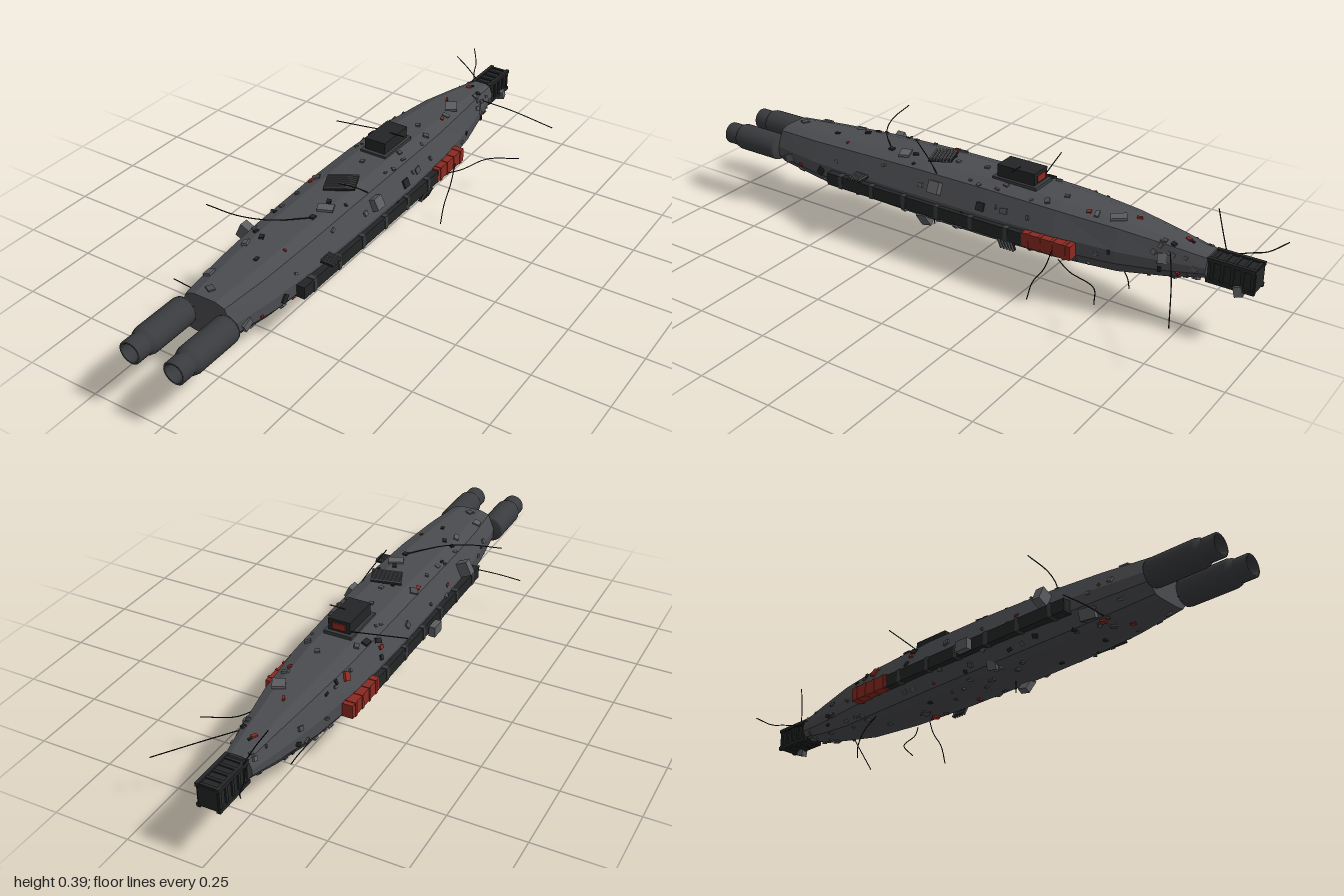
import * as THREE from 'three';

const mat = (color) => new THREE.MeshStandardMaterial({ color, flatShading: true });
const HULL = mat(0x4b4c50), ENGINE = mat(0x3a3b3e), DARK = mat(0x232425);
const RED = mat(0x8c2a22), GREY = mat(0x5c5d60), WIRE = mat(0x1c1c1d);
const CX = -0.013; // hull centre line

// Hull stations: z, half width, bottom, top
const STATIONS = [
  [0.77, 0.09, 0.163, 0.295], [0.6, 0.113, 0.148, 0.305], [0.4, 0.126, 0.14, 0.316], [0.15, 0.131, 0.136, 0.324],
  [-0.1, 0.131, 0.135, 0.325], [-0.35, 0.122, 0.137, 0.318], [-0.55, 0.098, 0.145, 0.306],
  [-0.7, 0.07, 0.168, 0.286], [-0.82, 0.047, 0.195, 0.267],
];
// Right half of the hull section, bottom to top: width share, height share
const HALF = [[0.45, 0], [0.72, 0.03], [1, 0.27], [1, 0.52], [0.76, 0.92], [0.42, 1]];
const SECTION = [...HALF, ...[...HALF].reverse().map(([u, v]) => [-u, v])];
const N = SECTION.length;

function ringAt(z) {
  let i = 0;
  while (i < STATIONS.length - 2 && z < STATIONS[i + 1][0]) i++;
  const a = STATIONS[i], b = STATIONS[i + 1], t = (z - a[0]) / (b[0] - a[0]);
  const [w, lo, hi] = [1, 2, 3].map((k) => a[k] + (b[k] - a[k]) * t);
  return SECTION.map(([u, v]) => new THREE.Vector3(CX + u * w, lo + v * (hi - lo), z));
}

function hullGeometry() {
  const pos = [], idx = [];
  STATIONS.forEach(([z]) => ringAt(z).forEach((p) => pos.push(p.x, p.y, p.z)));
  const last = (STATIONS.length - 1) * N;
  for (let i = 0; i < last; i += N) {
    for (let j = 0; j < N; j++) {
      const a = i + j, b = i + (j + 1) % N;
      idx.push(a, a + N, b, b, a + N, b + N);
    }
  }
  for (let j = 1; j < N - 1; j++) idx.push(0, j, j + 1, last, last + j + 1, last + j);
  const g = new THREE.BufferGeometry();
  g.setAttribute('position', new THREE.Float32BufferAttribute(pos, 3));
  g.setIndex(idx);
  g.computeVertexNormals();
  return g;
}

let seed = 7;
function rand(a = 0, b = 1) {
  seed = (seed * 16807) % 2147483647;
  return a + (b - a) * (seed / 2147483647);
}

export function createModel() {
  const root = new THREE.Group();
  const add = (name, geo, material, x = 0, y = 0, z = 0, parent = root) => {
    const m = new THREE.Mesh(geo, material);
    m.name = name;
    m.position.set(x, y, z);
    parent.add(m);
    return m;
  };
  const box = (name, material, size, at, rot = [0, 0, 0], parent = root) => {
    const m = add(name, new THREE.BoxGeometry(...size), material, ...at, parent);
    m.rotation.set(...rot);
    return m;
  };

  add('hull', hullGeometry(), HULL);

  // Twin engines with hollow nozzles
  const profile = [[0, 0], [0.042, 0], [0.045, 0.01], [0.045, 0.165], [0.041, 0.178], [0.035, 0.182],
    [0.037, 0.19], [0.037, 0.23], [0.028, 0.23], [0.026, 0.185], [0, 0.185]].map((p) => new THREE.Vector2(...p));
  for (const s of [-1, 1]) {
    const engine = new THREE.Group();
    engine.name = 'engine';
    engine.position.set(CX + s * 0.077, 0.224, 0.77);
    root.add(engine);
    const smooth = ENGINE.clone();
    smooth.flatShading = false;
    add('engineBody', new THREE.LatheGeometry(profile, 24), smooth, 0, 0, 0, engine).rotation.x = Math.PI / 2;
    add('nozzleCore', new THREE.CircleGeometry(0.026, 24), DARK, 0, 0, 0.187, engine);
    box('engineStrut', DARK, [0.03, 0.05, 0.03], [-s * 0.02, 0, -0.008], [0, 0, 0], engine);

    // Side beam with clamps, and the red cargo pod ahead of it
    box('sideBeam', DARK, [0.034, 0.042, 0.77], [CX + s * 0.13, 0.202, 0.12]);
    for (let k = 0; k < 6; k++) box('beamClamp', ENGINE, [0.037, 0.046, 0.015], [CX + s * 0.13, 0.202, 0.45 - k * 0.13]);
    box('cargoPod', RED, [0.036, 0.046, 0.17], [CX + s * 0.13, 0.205, -0.345]);
    for (let k = 0; k < 4; k++) box('podRib', RED, [0.04, 0.05, 0.01], [CX + s * 0.13, 0.205, -0.28 - k * 0.043]);
  }

  // Cabin with a red window facing the tail
  box('cabin', DARK, [0.075, 0.065, 0.135], [CX, 0.339, -0.168]);
  box('cabinWindow', RED, [0.045, 0.022, 0.004], [CX, 0.35, -0.237]);
  box('cabinBase', ENGINE, [0.095, 0.014, 0.16], [CX, 0.325, -0.168]);

  // Tail block with ribs and corner rails
  box('tailBlock', DARK, [0.062, 0.068, 0.155], [CX, 0.225, -0.89]);
  for (let k = 0; k < 5; k++) box('tailRib', DARK, [0.072, 0.076, 0.01], [CX, 0.225, -0.835 - k * 0.031]);
  for (const s of [-1, 1]) {
    for (const t of [-1, 1]) box('tailRail', DARK, [0.012, 0.012, 0.15], [CX + s * 0.032, 0.225 + t * 0.034, -0.893]);
  }
  box('tailBox', GREY, [0.025, 0.03, 0.025], [0.02, 0.185, -0.92], [0.3, 0.2, 0.1]);

  // Large bolted-on boxes
  const fittings = [
    [[0.04, 0.05, 0.03], [-0.148, 0.262, 0.41], [0, 0, -0.45]],
    [[0.022, 0.05, 0.035], [0.072, 0.132, 0.15], [0.2, 0, -0.5]],
    [[0.022, 0.036, 0.05], [-0.176, 0.197, 0.11], [0, 0, 0]],
    [[0.03, 0.04, 0.04], [0.108, 0.275, 0.08], [0, 0, 0.45]],
    [[0.03, 0.03, 0.03], [-0.095, 0.142, 0.16], [0, 0.3, 0.4]],
    [[0.05, 0.008, 0.035], [0.035, 0.324, 0.25], [0, 0.4, 0]],
    [[0.04, 0.008, 0.05], [0.025, 0.312, -0.53], [0.1, 0.5, 0]],
    [[0.02, 0.035, 0.05], [-0.12, 0.165, 0.56], [0, 0.2, 0.4]],
    [[0.02, 0.03, 0.03], [0.05, 0.235, -0.69], [0, 0.5, 0.3]],
  ];
  fittings.forEach(([size, at, rot]) => box('fitting', GREY, size, at, rot));

  // Slatted panels
  const slats = (at, rot, count, w, gap) => {
    const panel = new THREE.Group();
    panel.name = 'slattedPanel';
    panel.position.set(...at);
    panel.rotation.set(...rot);
    root.add(panel);
    box('panelPlate', DARK, [w, 0.006, count * gap], [0, 0, 0], [0, 0, 0], panel);
    for (let k = 0; k < count; k++) {
      box('slat', GREY, [w, 0.012, gap * 0.45], [0, 0.003, (k - (count - 1) / 2) * gap], [0, 0, 0], panel);
    }
  };
  slats([0.005, 0.334, 0.12], [0.05, 0.4, 0.08], 7, 0.1, 0.011);
  slats([0.137, 0.242, 0.37], [0, 0, 0], 5, 0.045, 0.01);
  slats([0.122, 0.165, -0.2], [0, 0, -2], 5, 0.04, 0.011);

  // Small plates and knobs scattered over every hull facet
  const scatter = new THREE.Group();
  scatter.name = 'hullDetails';
  root.add(scatter);
  for (let k = 0; k < 190; k++) {
    const z = rand(-0.8, 0.74), ring = ringAt(z), j = Math.floor(rand(0, N));
    const a = ring[j], b = ring[(j + 1) % N];
    const p = a.clone().lerp(b, rand(0.1, 0.9));
    const big = k % 8 === 0 ? 1.8 : 1;
    const size = [rand(0.006, 0.016) * big, rand(0.006, 0.014), rand(0.006, 0.02) * big];
    const m = box('hullDetail', k % 9 === 4 ? RED : [GREY, DARK, HULL][k % 3], size, p.toArray(), [0, 0, 0], scatter);
    m.rotation.set(0, rand(-0.6, 0.6), Math.atan2(b.y - a.y, b.x - a.x) + Math.PI, 'ZYX');
  }

  // Whip antennas and loose cables, each through a few points
  const wires = [
    [[-0.1, 0.152, 0.6], [-0.19, 0.149, 0.608], [-0.28, 0.149, 0.602]],
    [[0.03, 0.32, 0.31], [-0.06, 0.329, 0.4], [-0.15, 0.336, 0.442], [-0.258, 0.344, 0.455]],
    [[0.08, 0.14, -0.36], [0.13, 0.142, -0.43], [0.175, 0.147, -0.535], [0.268, 0.151, -0.59]],
    [[0.05, 0.258, -0.715], [0.14, 0.223, -0.765], [0.278, 0.162, -0.83]],
    [[-0.04, 0.24, -0.82], [-0.085, 0.255, -0.9], [-0.105, 0.265, -0.95], [-0.14, 0.295, -0.998]],
    [[0.083, 0.31, 0.09], [0.068, 0.343, 0.13], [0.045, 0.387, 0.198]],
    [[-0.045, 0.255, -0.85], [-0.07, 0.31, -0.82], [-0.1, 0.361, -0.79]],
    [[0.137, 0.2, -0.37], [0.137, 0.13, -0.345], [0.137, 0.07, -0.305], [0.137, 0.002, -0.285]],
    [[-0.02, 0.338, -0.235], [-0.12, 0.339, -0.21], [-0.22, 0.341, -0.187]],
    [[-0.08, 0.145, -0.39], [-0.06, 0.117, -0.48], [-0.035, 0.08, -0.54], [-0.02, 0.052, -0.556]],
    [[0, 0.372, -0.17], [0.03, 0.373, -0.17], [0.055, 0.373, -0.17]],
    [[0.031, 0.14, 0.14], [0.031, 0.115, 0.14], [0.031, 0.095, 0.14]],
  ];
  wires.forEach((pts) => {
    const curve = new THREE.CatmullRomCurve3(pts.map((p) => new THREE.Vector3(...p)));
    add('antenna', new THREE.TubeGeometry(curve, 16, 0.0018, 5), WIRE);
  });

  return root;
}
